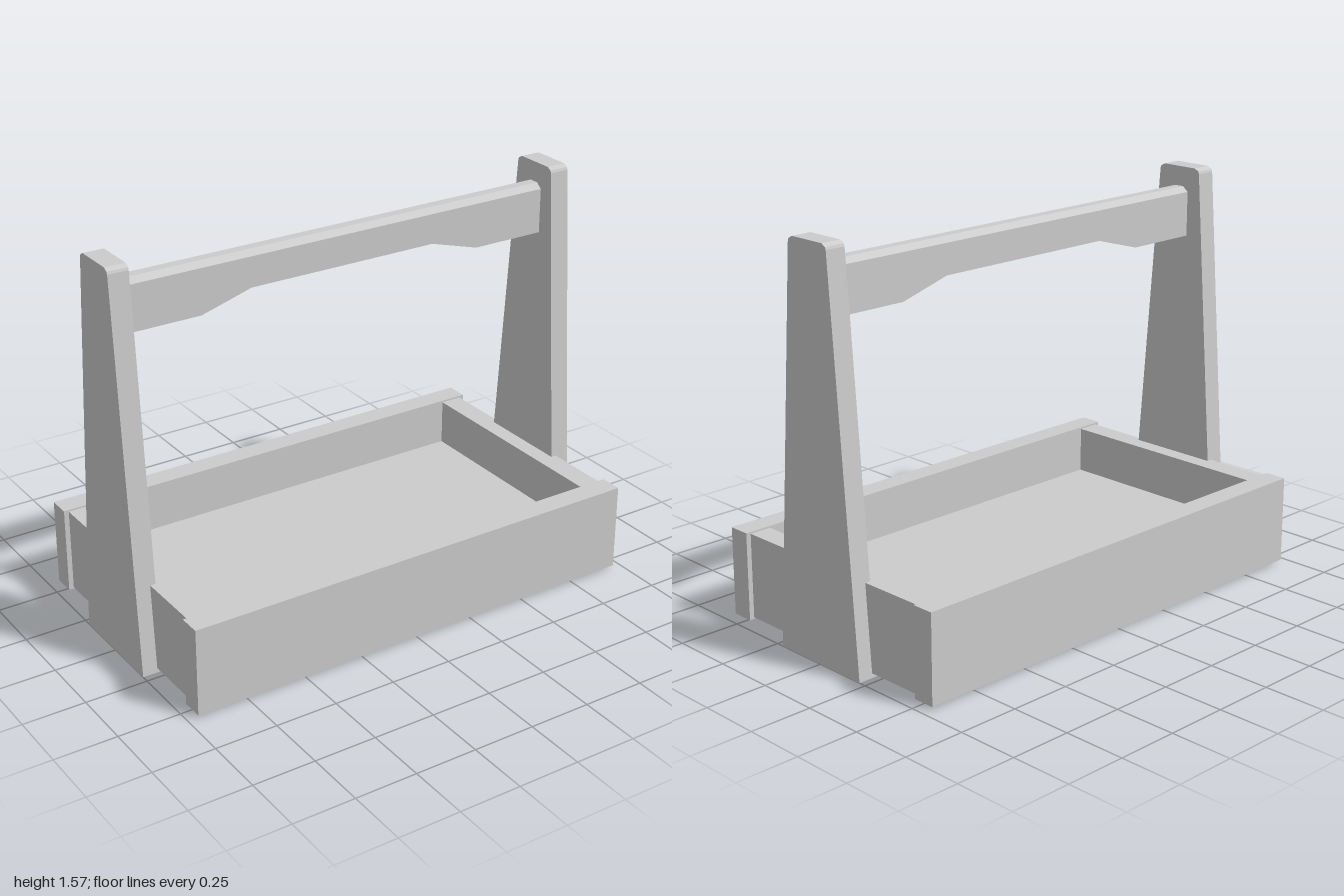
import * as THREE from 'three';

const material = new THREE.MeshStandardMaterial({ color: 0xcccccc, flatShading: true });

function addMesh(parent, name, geometry) {
  const mesh = new THREE.Mesh(geometry, material);
  mesh.name = name;
  parent.add(mesh);
  return mesh;
}

// Box given by its extents on each axis
function board(parent, name, [x0, x1], [y0, y1], [z0, z1]) {
  const mesh = addMesh(parent, name, new THREE.BoxGeometry(x1 - x0, y1 - y0, z1 - z0));
  mesh.position.set((x0 + x1) / 2, (y0 + y1) / 2, (z0 + z1) / 2);
}

// Symmetric profile in the z-y plane, extruded along x and centred
function extrudeAlongX(half, length, steps = 1) {
  const mirrored = half.map(([z, y]) => [-z, y]).reverse();
  const shape = new THREE.Shape([...half, ...mirrored].map(([z, y]) => new THREE.Vector2(z, y)));
  const geometry = new THREE.ExtrudeGeometry(shape, { depth: length, steps, bevelEnabled: false });
  return geometry.translate(0, 0, -length / 2).rotateY(Math.PI / 2);
}

// Handle bar: chamfered top, underside cut away in the middle
function handleGeometry() {
  const stations = [-0.92, -0.61, -0.4, 0.4, 0.61, 0.92];
  const geometry = extrudeAlongX([[0.045, 1.29], [0.045, 1.47], [0.02, 1.49]], 1, 5);
  const p = geometry.attributes.position;
  for (let i = 0; i < p.count; i++) {
    const x = stations[Math.round((p.getX(i) + 0.5) * 5)];
    p.setX(i, x);
    if (p.getY(i) < 1.4 && Math.abs(x) < 0.5) p.setY(i, 1.35);
  }
  geometry.computeVertexNormals();
  return geometry;
}

export function createModel() {
  const model = new THREE.Group();
  model.name = 'toolCaddy';

  // Tray
  const tray = new THREE.Group();
  tray.name = 'tray';
  model.add(tray);
  board(tray, 'frontBoard', [-0.96, 0.96], [0.012, 0.365], [0.47, 0.56]);
  board(tray, 'backBoard', [-0.96, 0.96], [0.012, 0.365], [-0.56, -0.47]);
  board(tray, 'leftBoard', [0.85, 0.94], [0.018, 0.358], [-0.47, 0.47]);
  board(tray, 'rightBoard', [-0.94, -0.85], [0.018, 0.358], [-0.47, 0.47]);
  board(tray, 'floorPanel', [-0.85, 0.85], [0.09, 0.17], [-0.47, 0.47]);

  // Tapered uprights with clipped top corners
  const postProfile = [[0.22, 0], [0.102, 1.55], [0.098, 1.56], [0.08, 1.57]];
  for (const [name, side] of [['leftPost', 1], ['rightPost', -1]]) {
    addMesh(model, name, extrudeAlongX(postProfile, 0.082)).position.x = side * 0.959;
  }

  addMesh(model, 'handle', handleGeometry());
  return model;
}
